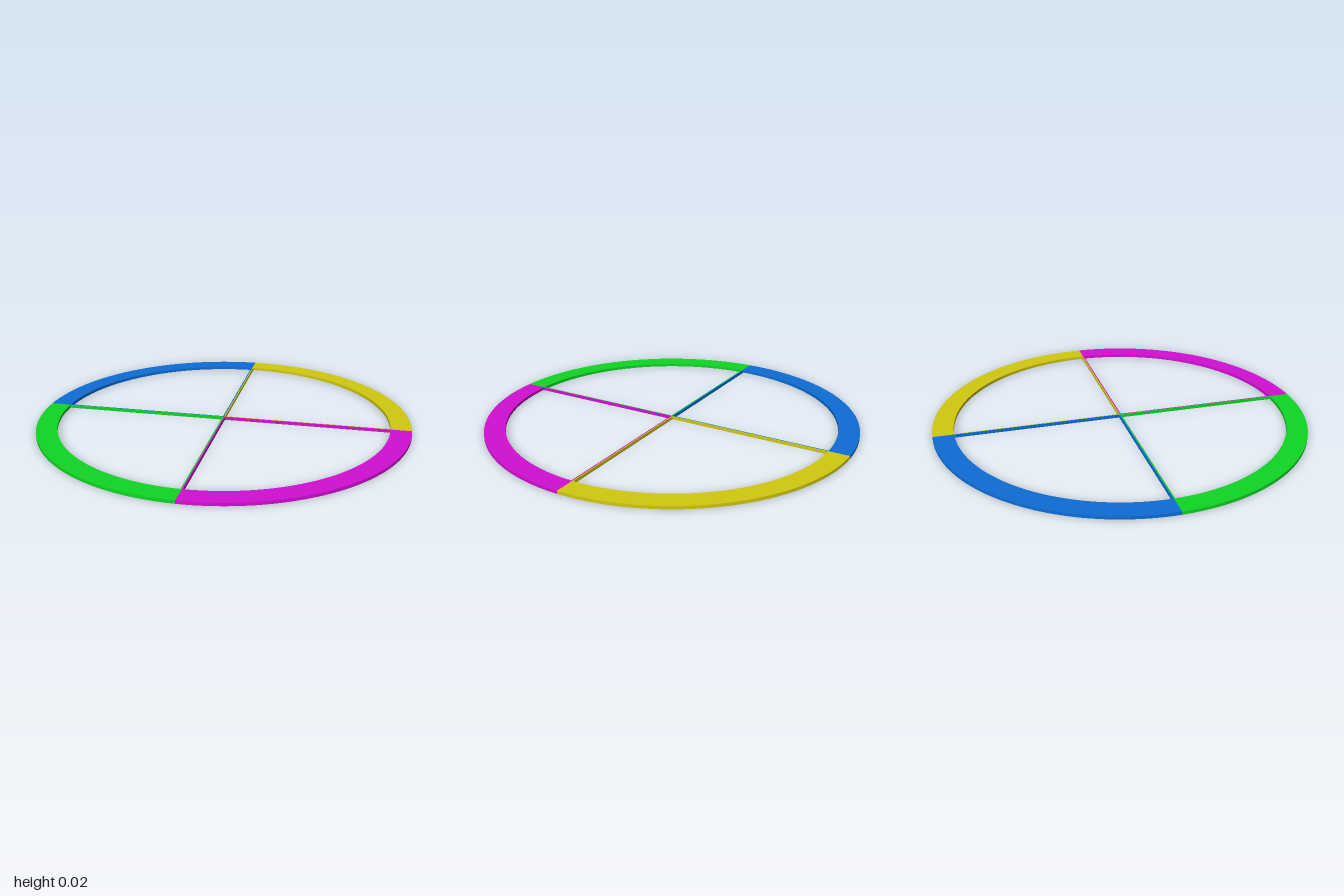
import * as THREE from 'three';
import { toCreasedNormals } from 'three/addons/utils/BufferGeometryUtils.js';

const OUTER = 1, INNER = 0.89, HEIGHT = 0.016, HALF_SPOKE = 0.006;

// Quarter of a ring whose two straight edges carry half a spoke each
function quadrantGeometry() {
  const shape = new THREE.Shape();
  shape.moveTo(0, 0);
  shape.lineTo(OUTER, 0);
  shape.absarc(0, 0, OUTER, 0, Math.PI / 2, false);
  shape.lineTo(0, 0);

  // Opening between the spokes and the rim
  const a = Math.asin(HALF_SPOKE / INNER);
  const opening = new THREE.Path();
  opening.moveTo(HALF_SPOKE, HALF_SPOKE);
  opening.lineTo(INNER * Math.cos(a), HALF_SPOKE);
  opening.absarc(0, 0, INNER, a, Math.PI / 2 - a, false);
  opening.lineTo(HALF_SPOKE, HALF_SPOKE);
  shape.holes.push(opening);

  const geometry = new THREE.ExtrudeGeometry(shape, {
    depth: HEIGHT, bevelEnabled: false, curveSegments: 32,
  });
  geometry.rotateX(-Math.PI / 2);
  return toCreasedNormals(geometry, Math.PI / 6);
}

export function createModel() {
  const group = new THREE.Group();
  group.name = 'quarteredRing';
  const geometry = quadrantGeometry();

  // Four coloured quadrants, counter-clockwise from the back left
  const quadrants = [
    ['backLeftQuadrant', 'yellow', 0xd2c910],
    ['backRightQuadrant', 'blue', 0x0d6ed6],
    ['frontRightQuadrant', 'green', 0x0fd624],
    ['frontLeftQuadrant', 'magenta', 0xd20fd2],
  ];
  quadrants.forEach(([name, colorName, color], i) => {
    const material = new THREE.MeshStandardMaterial({ color });
    material.name = colorName;
    const mesh = new THREE.Mesh(geometry, material);
    mesh.name = name;
    mesh.rotation.y = i * Math.PI / 2;
    group.add(mesh);
  });
  return group;
}
